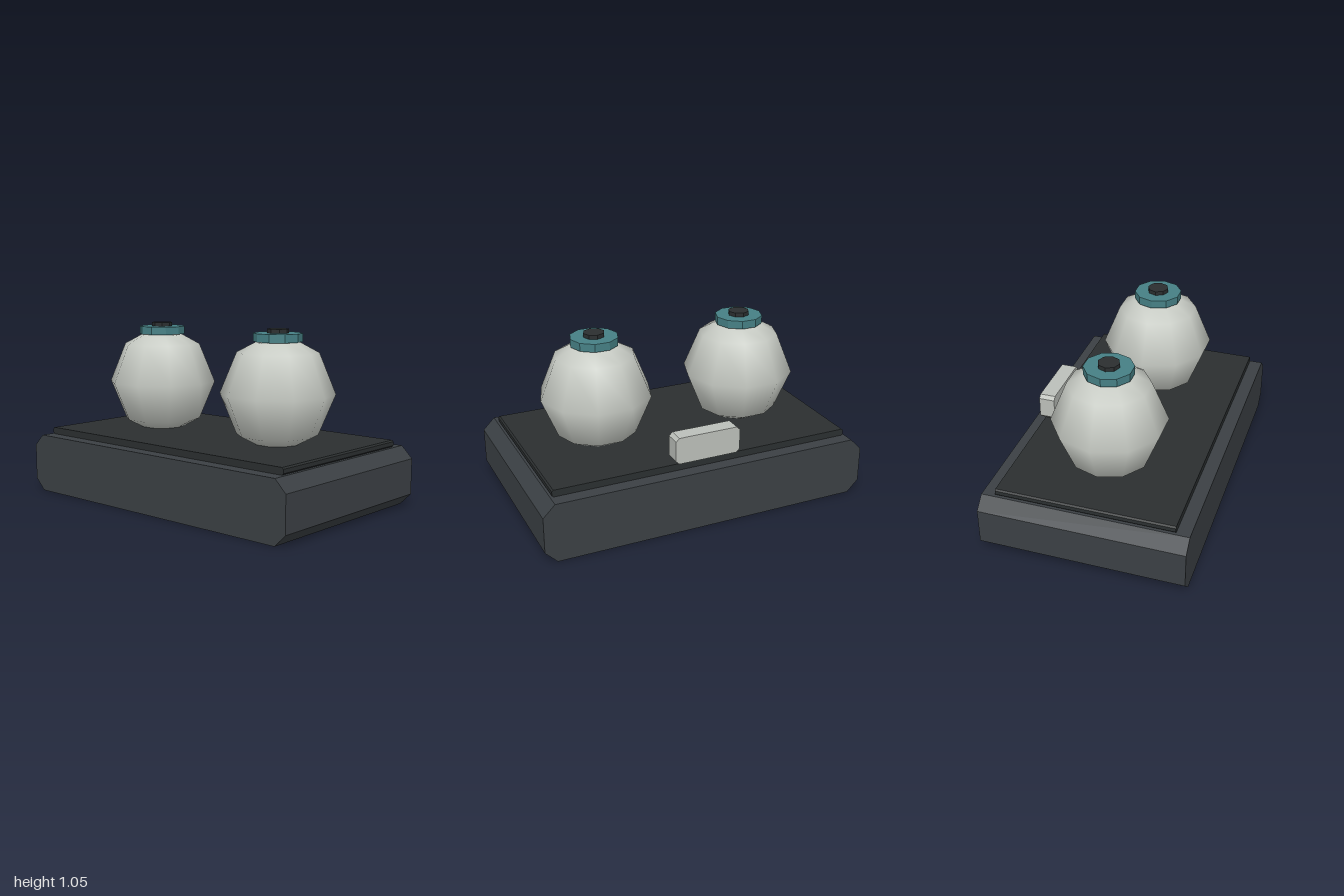
import * as THREE from 'three';

const material = (color, flatShading = true) => {
  const m = new THREE.MeshStandardMaterial({ color });
  m.flatShading = flatShading;
  return m;
};

const housing = material(0x3b4044);
const dark = material(0x2b2f30);
const teal = material(0x468085);
const pale = material(0xbcc0ba);
const paleSmooth = material(0xc8ccc5, false);

function addMesh(parent, name, geometry, mat, x = 0, y = 0, z = 0) {
  const mesh = new THREE.Mesh(geometry, mat);
  mesh.name = name;
  mesh.position.set(x, y, z);
  parent.add(mesh);
  return mesh;
}

// Box whose four long edges, running along z, are chamfered
function chamferedBox(width, height, depth, c) {
  const w = width / 2;
  const outline = [
    [-w + c, 0], [w - c, 0], [w, c], [w, height - c],
    [w - c, height], [-w + c, height], [-w, height - c], [-w, c],
  ].map(([x, y]) => new THREE.Vector2(x, y));
  const geometry = new THREE.ExtrudeGeometry(new THREE.Shape(outline), { depth, bevelEnabled: false });
  return geometry.translate(0, 0, -depth / 2);
}

// Round vessel with a ten-sided collar and an eight-sided knob
function createVessel(name, x) {
  const vessel = new THREE.Group();
  vessel.name = name;
  vessel.position.x = x;

  const profile = [
    [0, 0.37], [0.13, 0.39], [0.236, 0.445], [0.333, 0.68],
    [0.236, 0.917], [0.128, 0.975], [0, 0.99],
  ].map(([r, y]) => new THREE.Vector2(r, y));
  const body = new THREE.LatheGeometry(profile, 10).rotateY(Math.PI / 2);
  addMesh(vessel, 'vesselBody', body, paleSmooth);

  const collar = new THREE.CylinderGeometry(0.142, 0.142, 0.048, 10).rotateY(Math.PI / 2);
  addMesh(vessel, 'collar', collar, teal, 0, 1.003, 0);
  addMesh(vessel, 'knob', new THREE.CylinderGeometry(0.063, 0.063, 0.04, 8), dark, 0, 1.031, 0);
  return vessel;
}

export function createModel() {
  const model = new THREE.Group();
  model.name = 'twinVesselUnit';

  // Housing and raised top plate
  addMesh(model, 'base', chamferedBox(2, 0.353, 1.2, 0.07), housing);
  addMesh(model, 'topPlate', chamferedBox(1.84, 0.041, 1.04, 0.009), dark, 0, 0.353, 0);

  // Pair of vessels
  for (const side of [1, -1]) {
    model.add(createVessel(side > 0 ? 'leftVessel' : 'rightVessel', side * 0.465));
  }

  // Small block near the rear edge
  addMesh(model, 'rearBlock', chamferedBox(0.4, 0.16, 0.094, 0.02), pale, 0, 0.402, -0.495);

  return model;
}
